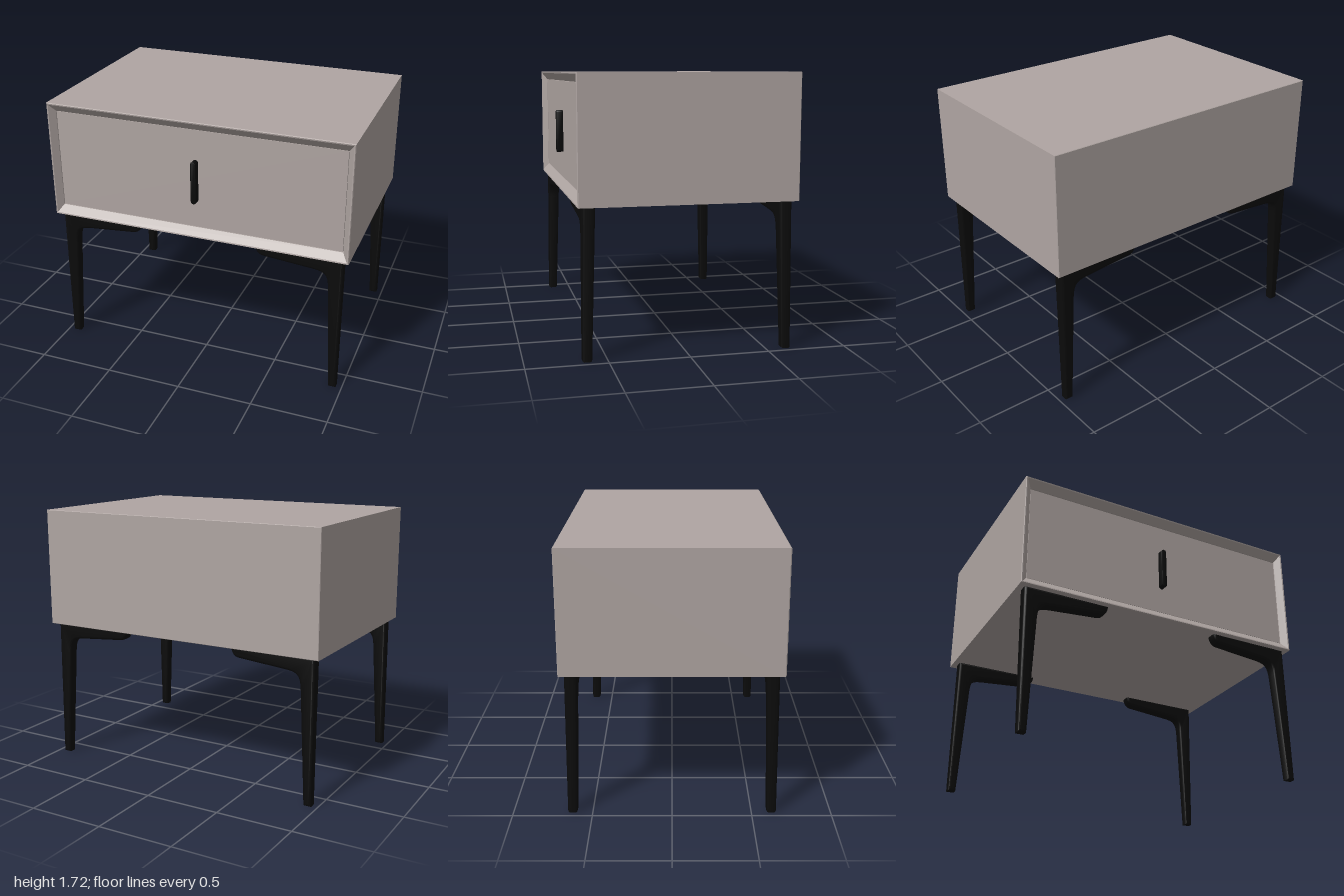
import * as THREE from 'three';
import { toCreasedNormals } from 'three/addons/utils/BufferGeometryUtils.js';

const LEG_TOP = 0.945;

// Closed shell from rectangular rings [halfWidth, bottom, top, z], capped at both ends.
function ringShell(rings) {
  const corners = rings.map(([w, b, t, z]) => [[-w, b, z], [w, b, z], [w, t, z], [-w, t, z]]);
  const pos = [];
  const quad = (a, b, c, d) => pos.push(...a, ...b, ...c, ...a, ...c, ...d);
  for (let r = 0; r < corners.length - 1; r++) {
    for (let i = 0; i < 4; i++) {
      const j = (i + 1) % 4;
      quad(corners[r][i], corners[r][j], corners[r + 1][j], corners[r + 1][i]);
    }
  }
  const first = corners[0], last = corners[corners.length - 1];
  quad(first[3], first[2], first[1], first[0]);
  quad(last[0], last[1], last[2], last[3]);
  const geo = new THREE.BufferGeometry();
  geo.setAttribute('position', new THREE.Float32BufferAttribute(pos, 3));
  geo.computeVertexNormals();
  return geo;
}

// Tapered leg with a horizontal arm curving out of its top, for the corner (sx, sz).
function legGeometry(sx, sz) {
  const s = new THREE.Shape();
  s.moveTo(sx * 0.962, LEG_TOP);
  s.lineTo(sx * 0.962, 0.005);
  s.lineTo(sx * 0.91, 0.005);
  s.lineTo(sx * 0.872, 0.74);
  s.bezierCurveTo(sx * 0.867, 0.82, sx * 0.85, 0.84, sx * 0.78, 0.848);
  s.lineTo(sx * 0.45, 0.877);
  s.quadraticCurveTo(sx * 0.4, 0.882, sx * 0.393, LEG_TOP);
  s.closePath();
  const bevel = 0.018, width = 0.08;
  const geo = new THREE.ExtrudeGeometry(s, {
    depth: width - 2 * bevel, curveSegments: 10, bevelEnabled: true,
    bevelSize: bevel, bevelThickness: bevel, bevelOffset: -bevel, bevelSegments: 4,
  });
  geo.translate(0, 0, bevel - width / 2);
  // Taper and splay towards the floor.
  const p = geo.attributes.position;
  for (let i = 0; i < p.count; i++) {
    const t = 1 - p.getY(i) / LEG_TOP;
    p.setZ(i, p.getZ(i) * (1 - 0.22 * t) + sz * (0.608 + 0.018 * t));
  }
  return toCreasedNormals(geo, 0.7);
}

export function createModel() {
  const model = new THREE.Group();
  const bodyMat = new THREE.MeshStandardMaterial({ color: 0xafa5a2 });
  bodyMat.name = 'warm grey';
  const metalMat = new THREE.MeshStandardMaterial({ color: 0x0b0b0b });
  metalMat.name = 'black metal';

  const add = (name, geo, mat) => {
    const mesh = new THREE.Mesh(geo, mat);
    mesh.name = name;
    model.add(mesh);
    return mesh;
  };

  // Cabinet: box with a thin lip and a bevelled frame running in to the drawer opening
  add('cabinet', ringShell([
    [0.997, 0.943, 1.717, -0.68],
    [1, 0.94, 1.72, -0.677],
    [1, 0.94, 1.72, 0.674],
    [0.996, 0.944, 1.716, 0.68],
    [0.988, 0.952, 1.708, 0.678],
    [0.955, 1.0, 1.66, 0.64],
    [0.955, 1.0, 1.66, 0.61],
  ]), bodyMat);

  // Drawer front, set in the opening with a fine shadow gap
  const drawer = add('drawerFront', new THREE.BoxGeometry(1.904, 0.654, 0.03), bodyMat);
  drawer.position.set(0, 1.33, 0.623);

  // Upright pull handle
  const bar = new THREE.Shape();
  bar.absarc(0, 0.124, 0.016, 0, Math.PI);
  bar.absarc(0, -0.124, 0.016, Math.PI, Math.PI * 2);
  bar.closePath();
  const barGeo = new THREE.ExtrudeGeometry(bar, {
    depth: 0.04, curveSegments: 8, bevelSize: 0.004, bevelThickness: 0.004, bevelOffset: -0.002, bevelSegments: 2,
  });
  add('handle', toCreasedNormals(barGeo, 0.7), metalMat).position.set(0, 1.32, 0.64);

  // Four legs
  for (const sx of [-1, 1]) {
    for (const sz of [-1, 1]) {
      const name = (sz > 0 ? 'front' : 'back') + (sx > 0 ? 'Left' : 'Right') + 'Leg';
      add(name, legGeometry(sx, sz), metalMat);
    }
  }
  return model;
}
